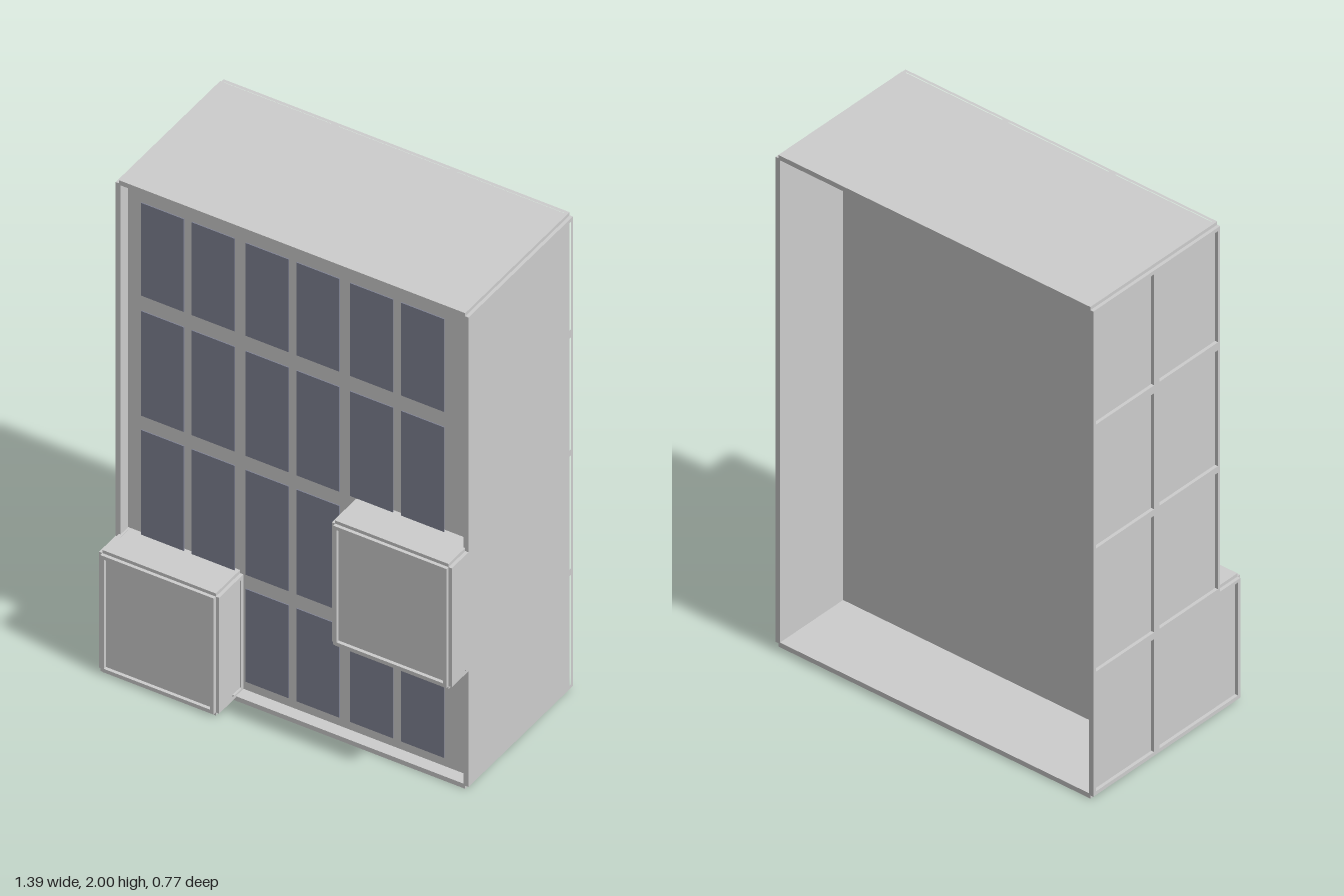
import * as THREE from 'three';

const stone = new THREE.MeshStandardMaterial({ color: 0xcccccc });
stone.name = 'pale grey';
const glass = new THREE.MeshStandardMaterial({ color: 0x808394 });
glass.name = 'slate blue';

// Main planes of the building
const W = 0.682, TOP = 1.987, BASE = 0.013, BACK = -0.385, FRONT = 0.268, BAY = 0.372;
const RIM = 0.013, SHEET = 0.006;
const X = new THREE.Vector3(1, 0, 0), Y = new THREE.Vector3(0, 1, 0), Z = new THREE.Vector3(0, 0, 1);
const neg = (v) => v.clone().negate();

const rect = (x0, x1, y0, y1) => [[x0, y0], [x1, y0], [x1, y1], [x0, y1]];
const vectors = (pts, su, sv) => pts.map(([a, b]) => new THREE.Vector2(a * su, b * sv));

export function createModel() {
  const model = new THREE.Group();
  model.name = 'building';

  const box = (parent, name, mat, x0, x1, y0, y1, z0, z1) => {
    const m = new THREE.Mesh(new THREE.BoxGeometry(x1 - x0, y1 - y0, z1 - z0), mat);
    m.position.set((x0 + x1) / 2, (y0 + y1) / 2, (z0 + z1) / 2);
    m.name = name;
    parent.add(m);
  };

  // Thin wall with a raised lattice on its outer face; u x v points outward
  const wall = (name, u, v, offset, outline, holes, su = 1, sv = 1) => {
    const w = u.clone().cross(v);
    const group = new THREE.Group();
    group.name = name;
    const add = (part, depth, start, cut) => {
      const shape = new THREE.Shape(vectors(outline, su, sv));
      shape.holes = cut.map((h) => new THREE.Path(vectors(h, su, sv)));
      const geo = new THREE.ExtrudeGeometry(shape, { depth, bevelEnabled: false });
      geo.translate(0, 0, start);
      geo.applyMatrix4(new THREE.Matrix4().makeBasis(u, v, w));
      const mesh = new THREE.Mesh(geo, stone);
      mesh.name = part;
      group.add(mesh);
    };
    add('panelSheet', SHEET, offset - SHEET, []);
    add('raisedFrame', RIM, offset, holes);
    model.add(group);
  };

  const rows = [[0.028, 0.488], [0.515, 0.99], [1.016, 1.488], [1.52, 1.972]];
  const cols = [[-0.668, -0.248], [-0.22, 0.22], [0.248, 0.668]];
  const depths = [[-0.372, -0.072], [-0.045, 0.257]];

  // Side walls, each stepping forward at its bay
  const side = (name, s, bayRow, y0, y1) => {
    const outline = [[BACK, BASE], [FRONT, BASE], [FRONT, y0], [BAY, y0],
      [BAY, y1], [FRONT, y1], [FRONT, TOP], [BACK, TOP]];
    if (bayRow === 0) outline.splice(1, 2);
    const holes = rows.flatMap(([a, b], r) => depths.map(([c, d], i) =>
      rect(c, r === bayRow && i === 1 ? 0.36 : d, a, b)));
    wall(name, s > 0 ? neg(Z) : Z, Y, W, outline, holes, -s);
  };
  side('leftWall', 1, 1, 0.5, 1.0);
  side('rightWall', -1, 0, BASE, 0.5);

  // Roof and floor; the floor reaches under the lower bay
  const cells = (bay) => cols.flatMap(([a, b], c) => depths.map(([d, e], i) =>
    rect(a, b, d, bay && c === 0 && i === 1 ? 0.357 : e)));
  wall('roof', X, neg(Z), TOP, rect(-W, W, BACK, FRONT), cells(false), 1, -1);
  const floorOutline = [[-W, BACK], [W, BACK], [W, FRONT], [-0.235, FRONT], [-0.235, BAY], [-W, BAY]];
  wall('floor', X, Z, -BASE, floorOutline, cells(true));

  // Recessed front slab, open behind
  box(model, 'facade', stone, -W + SHEET, W - SHEET, BASE, TOP, -0.06, 0.22);

  // Projecting bays at opposite corners
  const bay = (name, s, y0, y1) => {
    const x0 = s > 0 ? 0.235 : -W, x1 = s > 0 ? W : -0.235;
    const hx0 = x0 + 0.014, hx1 = x1 - 0.014;
    box(model, name + 'Core', stone, x0 + SHEET, x1 - SHEET, y0, y1, 0.2, BAY - SHEET);
    wall(name + 'Front', X, Y, BAY, rect(x0, x1, y0, y1), [rect(hx0, hx1, y0 + 0.014, y1 - 0.014)]);
    const lid = rect(x0, x1, 0.22, BAY), lidHole = [rect(hx0, hx1, 0.235, 0.357)];
    wall(name + 'Top', X, neg(Z), y1, lid, lidHole, 1, -1);
    if (y0 > 0.1) wall(name + 'Underside', X, Z, -y0, lid, lidHole);
    wall(name + 'InnerSide', s > 0 ? Z : neg(Z), Y, -0.235, rect(0.22, BAY, y0, y1),
      [rect(0.235, 0.357, y0 + 0.014, y1 - 0.014)], s);
  };
  bay('upperBay', 1, 0.5, 1.0);
  bay('lowerBay', -1, BASE, 0.5);

  // Window panes, left out where the bays stand
  const windows = new THREE.Group();
  windows.name = 'windows';
  const paneX = [-0.6, -0.4, -0.187, 0.013, 0.224, 0.426];
  const paneY = [[0.09, 0.48], [0.54, 0.98], [1.04, 1.48], [1.545, 1.935]];
  paneY.forEach(([a, b], r) => paneX.forEach((x, c) => {
    if ((r === 0 && c < 2) || (r === 1 && c > 3)) return;
    box(windows, 'windowPane', glass, x, x + 0.169, a, b, 0.258, 0.262);
  }));
  model.add(windows);
  return model;
}
